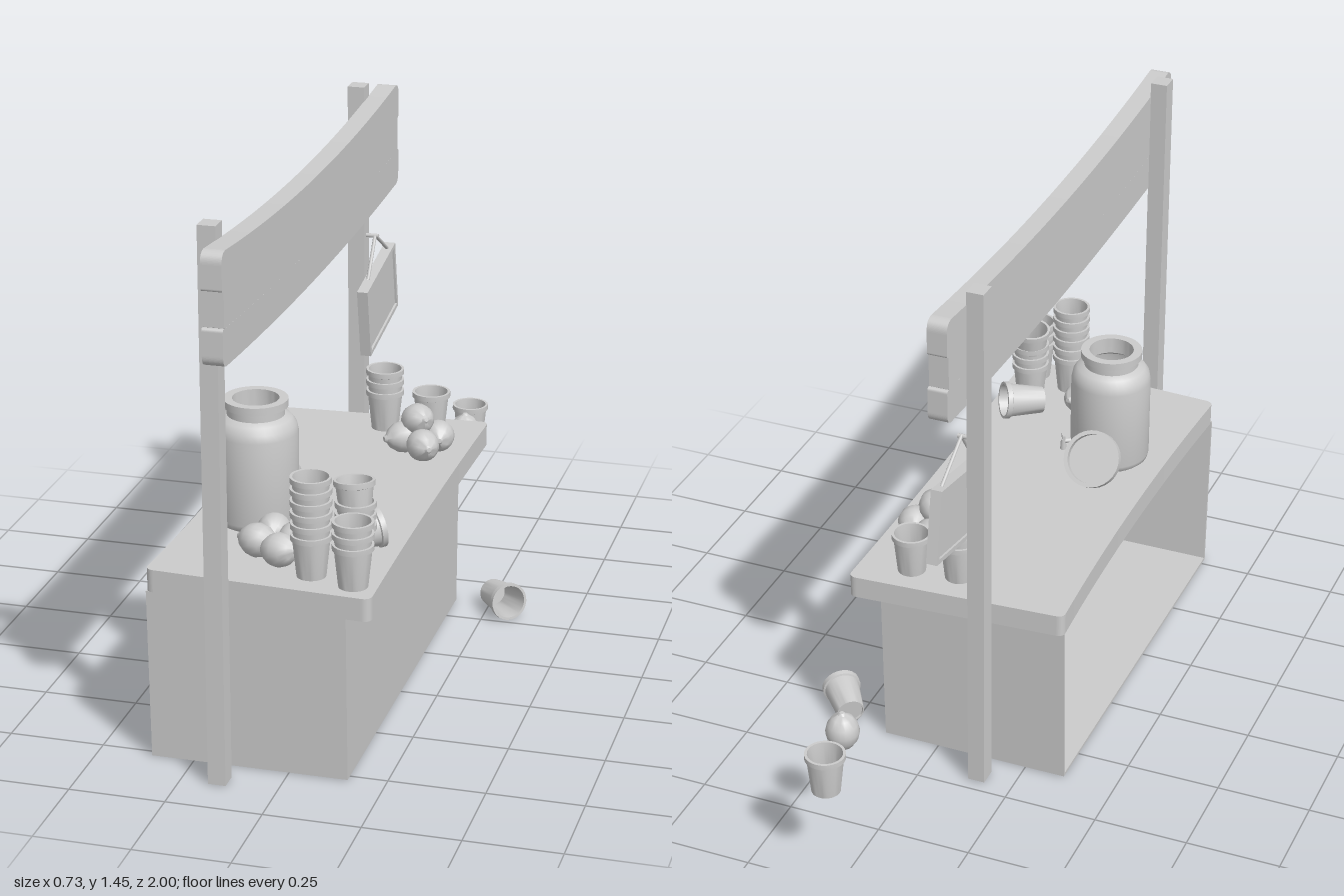
import * as THREE from 'three';
import { toCreasedNormals } from 'three/addons/utils/BufferGeometryUtils.js';

const mat = new THREE.MeshStandardMaterial({ color: 0xcccccc, side: THREE.DoubleSide });
const Y = new THREE.Vector3(0, 1, 0);

const lathe = (pts, seg = 28) =>
  toCreasedNormals(new THREE.LatheGeometry(pts.map(p => new THREE.Vector2(...p)), seg), 0.7);

export function createModel() {
  const root = new THREE.Group();
  const add = (name, geo, x = 0, y = 0, z = 0, parent = root) => {
    const m = new THREE.Mesh(geo, mat);
    m.name = name;
    m.position.set(x, y, z);
    parent.add(m);
    return m;
  };
  const box = (name, x0, x1, y0, y1, z0, z1) =>
    add(name, new THREE.BoxGeometry(x1 - x0, y1 - y0, z1 - z0), (x0 + x1) / 2, (y0 + y1) / 2, (z0 + z1) / 2);
  const extrude = (shape, depth) =>
    new THREE.ExtrudeGeometry(shape, { depth, bevelEnabled: false, curveSegments: 16 });

  // Counter top: rounded corners, narrower at the back, with bowed long edges
  const top = new THREE.Shape();
  top.moveTo(-0.34, 0.386);
  top.lineTo(0.2, 0.418);
  top.quadraticCurveTo(0.225, 0.42, 0.225, 0.395);
  top.quadraticCurveTo(0.212, -0.2, 0.225, -0.8);
  top.quadraticCurveTo(0.225, -0.827, 0.2, -0.825);
  top.lineTo(-0.34, -0.793);
  top.quadraticCurveTo(-0.36, -0.79, -0.36, -0.77);
  top.quadraticCurveTo(-0.328, -0.2, -0.36, 0.365);
  top.quadraticCurveTo(-0.36, 0.385, -0.34, 0.386);
  add('counterTop', extrude(top, 0.06).rotateX(-Math.PI / 2), 0, 0.46, 0);

  // Counter body: floor, front and two sides, open at the back, slightly flared
  const body = new THREE.Group();
  body.name = 'counterBody';
  root.add(body);
  const flare = (name, w, h, d, x, y, z) => {
    const g = new THREE.BoxGeometry(w, h, d).translate(x, y, z);
    const p = g.attributes.position;
    for (let i = 0; i < p.count; i++) {
      const t = 1 + 0.025 * (p.getY(i) / 0.46 - 1);
      p.setZ(i, 0.207 + (p.getZ(i) - 0.207) * t);
    }
    g.computeVertexNormals();
    add(name, g, 0, 0, 0, body);
  };
  flare('floorPanel', 0.51, 0.008, 1.164, -0.105, 0.004, 0.207);
  flare('frontPanel', 0.008, 0.46, 1.164, 0.149, 0.23, 0.207);
  for (const s of [-1, 1]) flare('sidePanel', 0.513, 0.46, 0.008, -0.1035, 0.23, 0.207 + s * 0.578);

  // Posts
  box('leftPost', -0.176, -0.13, 0, 1.45, -0.465, -0.415);
  box('rightPost', -0.176, -0.13, 0, 1.45, 0.835, 0.885);

  // Sagging banner made of three planks
  const plank = (name, u0, u1, yB, yT, dB, dT, rB, rT) => {
    const s = new THREE.Shape(), m = (u0 + u1) / 2;
    s.moveTo(u0 + rB, yB);
    s.quadraticCurveTo(m, yB - 2 * dB, u1 - rB, yB);
    s.quadraticCurveTo(u1, yB, u1, yB + rB);
    s.lineTo(u1, yT - rT);
    s.quadraticCurveTo(u1, yT, u1 - rT, yT);
    s.quadraticCurveTo(m, yT - 2 * dT, u0 + rT, yT);
    s.quadraticCurveTo(u0, yT, u0, yT - rT);
    s.lineTo(u0, yB + rB);
    s.quadraticCurveTo(u0, yB, u0 + rB, yB);
    add(name, extrude(s, 0.052).rotateY(Math.PI / 2), -0.131, 0, 0);
  };
  plank('bannerTopPlank', -1, 0.585, 1.328, 1.423, 0.03, 0.037, 0.008, 0.03);
  plank('bannerMiddlePlank', -0.988, 0.575, 1.238, 1.328, 0.025, 0.03, 0.001, 0.001);
  plank('bannerBottomPlank', -1, 0.585, 1.142, 1.238, 0.022, 0.025, 0.03, 0.008);

  // Small framed sign hanging crooked from a string
  const sign = new THREE.Group();
  sign.name = 'hangingSign';
  sign.position.set(-0.105, 0.836, -0.467);
  sign.rotation.x = 0.18;
  root.add(sign);
  add('signBoard', new THREE.BoxGeometry(0.018, 0.19, 0.29), 0, 0, 0, sign);
  for (const s of [-1, 1]) {
    add('signRail', new THREE.BoxGeometry(0.03, 0.012, 0.298), 0, s * 0.093, 0, sign);
    add('signStile', new THREE.BoxGeometry(0.03, 0.198, 0.012), 0, 0, s * 0.143, sign);
  }
  const peg = new THREE.Vector3(-0.105, 1.03, -0.437);
  for (const end of [[0.925, -0.362], [0.953, -0.565]]) {
    const e = new THREE.Vector3(-0.105, ...end);
    add('signString', new THREE.TubeGeometry(new THREE.LineCurve3(peg, e), 1, 0.005, 6));
  }
  const pegMesh = add('signPeg', new THREE.CylinderGeometry(0.006, 0.006, 0.04, 8), -0.115, 1.028, -0.437);
  pegMesh.rotation.z = Math.PI / 2;

  // Drinks jar with spigot, and its lid leaning behind it
  add('jar', lathe([[0, 0], [0.095, 0], [0.105, 0.008], [0.108, 0.02], [0.108, 0.245], [0.104, 0.265],
    [0.092, 0.282], [0.074, 0.29], [0.074, 0.31], [0.083, 0.312], [0.083, 0.332], [0.06, 0.332],
    [0.06, 0.288], [0.09, 0.268], [0.096, 0.24], [0.096, 0.015], [0, 0.015]], 36), -0.187, 0.52, 0.412);
  const spigot = new THREE.Group();
  spigot.name = 'spigot';
  spigot.position.set(-0.09, 0.572, 0.36);
  spigot.rotation.y = 0.5;
  root.add(spigot);
  add('spigotPipe', new THREE.CylinderGeometry(0.007, 0.007, 0.04, 10).rotateZ(Math.PI / 2), 0, 0, 0, spigot);
  add('spigotSpout', new THREE.CylinderGeometry(0.007, 0.009, 0.03, 10), 0.018, -0.01, 0, spigot);
  add('spigotHandle', new THREE.BoxGeometry(0.008, 0.012, 0.026), 0.018, 0.014, 0, spigot);
  const lid = add('jarLid', lathe([[0, -0.012], [0.074, -0.012], [0.078, -0.008], [0.078, 0.014],
    [0.067, 0.014], [0.067, -0.004], [0, -0.004]]), -0.195, 0.592, 0.258);
  lid.rotation.x = -0.98;

  // Paper cups: nested stacks and loose ones
  const cupGeo = lathe([[0, 0.005], [0.033, 0.005], [0.034, 0], [0.037, 0], [0.047, 0.096], [0.052, 0.098],
    [0.052, 0.112], [0.045, 0.112], [0.034, 0.01], [0, 0.01]], 24);
  const cup = (x, y, z) => add('cup', cupGeo, x, y, z);
  const stack = (x, z, n) => {
    for (let i = 0; i < n; i++) cup(x, 0.52 + i * 0.03, z);
  };
  stack(0.163, 0.755, 3);
  stack(0.047, 0.72, 6);
  stack(0.135, 0.63, 3);
  stack(-0.042, -0.31, 3);
  stack(0.085, -0.325, 1);
  const tilted = cup(0.135, 0.632, 0.63);
  tilted.rotation.set(-0.1, 0, 0.06);
  cup(0.048, 0.253, -0.949);
  // Cups lying on their side: base point and mouth direction
  const lying = (x, y, z, dx, dz) => {
    const dir = new THREE.Vector3(dx, 0.13, dz).normalize();
    cup(x, y, z).quaternion.setFromUnitVectors(Y, dir);
  };
  lying(0.073, 0.557, 0.561, 0.8, -0.6);
  lying(0.257, 0.037, -0.358, 0.62, 0.78);

  // Lemons: two piles on the counter and one in mid-air
  const lemonGeo = lathe([[0, -0.06], [0.007, -0.058], [0.011, -0.051], [0.026, -0.041], [0.039, -0.022],
    [0.044, 0], [0.039, 0.022], [0.026, 0.041], [0.011, 0.05], [0.006, 0.056], [0, 0.057]], 20);
  const lemons = [
    [0.074, 0.563, -0.215, 1, 0.1, 0.5], [0.055, 0.563, -0.145, 0.8, 0, -0.6], [0.12, 0.563, -0.095, 0.5, 0.1, 0.8],
    [0.143, 0.563, -0.175, 0.3, 0.1, 1], [0.09, 0.612, -0.155, 0.6, 0.3, 0.7],
    [-0.095, 0.563, 0.565, 0.2, 0.1, 1], [-0.027, 0.563, 0.605, 0.3, 0.2, -0.8], [-0.115, 0.563, 0.64, 1, 0, 0.3],
    [-0.045, 0.563, 0.685, 1, 0.2, 0.4], [0.066, 0.333, -0.808, 0, 1, 0]];
  for (const [x, y, z, ...d] of lemons)
    add('lemon', lemonGeo, x, y, z).quaternion.setFromUnitVectors(Y, new THREE.Vector3(...d).normalize());

  return root;
}
